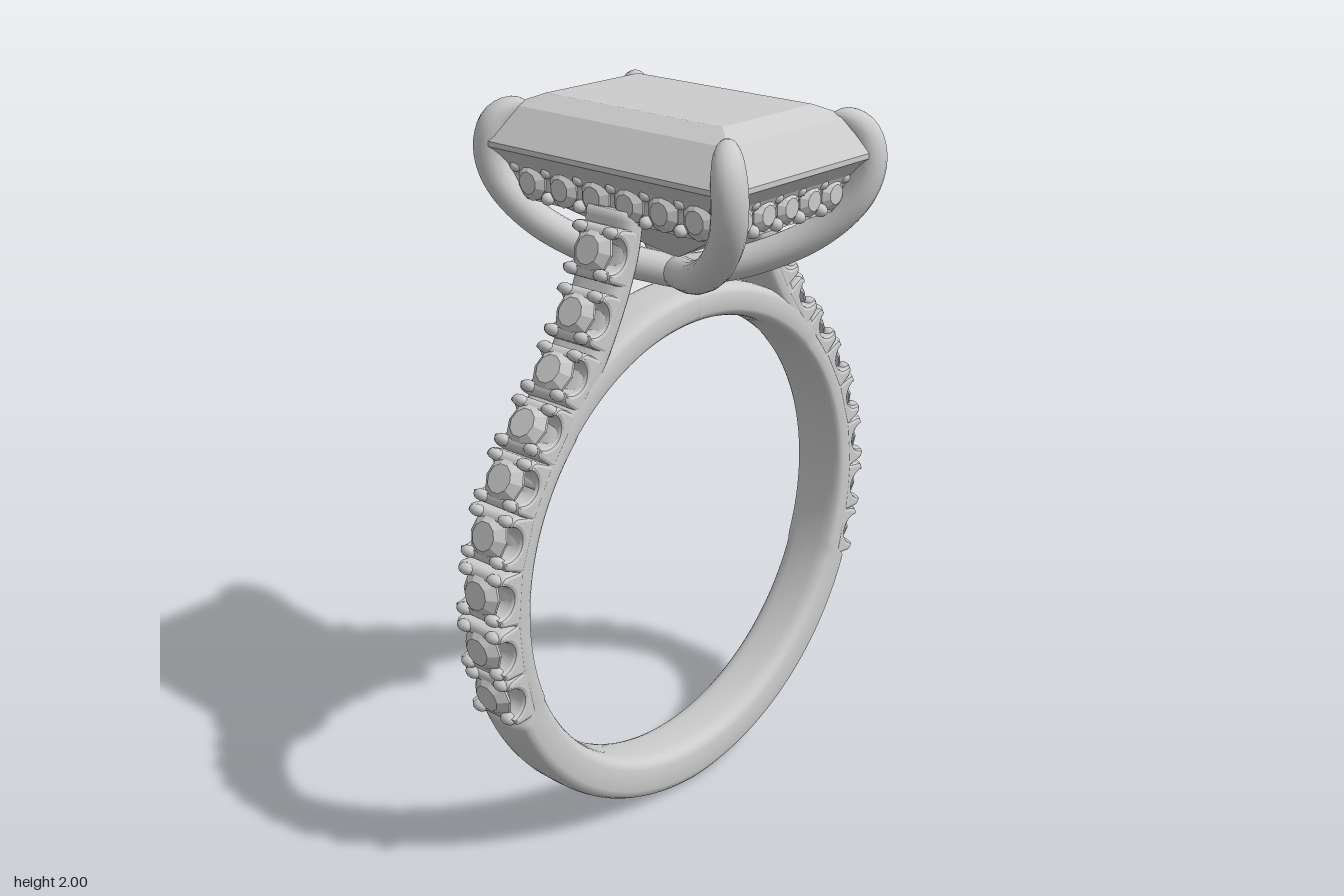
import * as THREE from 'three';

const V = (x, y, z) => new THREE.Vector3(x, y, z);

// Skin a list of equal-length rings; ends are closed to their centres when capped
function loft(rings, { capped = true, flat = false } = {}) {
  const list = rings.slice();
  if (capped) {
    const collapse = (ring) => {
      const c = ring.reduce((s, p) => s.add(p), V(0, 0, 0)).divideScalar(ring.length);
      return ring.map(() => c);
    };
    list.unshift(collapse(rings[0]));
    list.push(collapse(rings[rings.length - 1]));
  }
  const m = list[0].length, index = [];
  for (let i = 0; i < list.length - 1; i++) {
    for (let j = 0; j < m; j++) {
      const a = i * m + j, b = i * m + (j + 1) % m;
      index.push(a, b, a + m, b, b + m, a + m);
    }
  }
  let geo = new THREE.BufferGeometry().setFromPoints(list.flat());
  geo.setIndex(index);
  if (flat) geo = geo.toNonIndexed();
  geo.computeVertexNormals();
  return geo;
}

// Sweep a profile of [normal, side] offsets along a curve with a fixed side direction
function sweep(curve, side, steps, profile, capped = true) {
  const rings = [];
  for (let i = 0; i <= steps; i++) {
    const t = i / steps, p = curve.getPointAt(t);
    const n = side.clone().cross(curve.getTangentAt(t)).normalize();
    rings.push(profile(t).map(([a, b]) => p.clone().addScaledVector(n, a).addScaledVector(side, b)));
  }
  return loft(rings, { capped });
}

// Rounded section between n0 and n1, half as wide as w; power 1 is an ellipse
function section(n0, n1, w, power, count = 24) {
  const soft = (v) => Math.sign(v) * Math.abs(v) ** power;
  return Array.from({ length: count }, (_, i) => {
    const a = (i / count) * Math.PI * 2;
    return [(n0 + n1) / 2 + (n1 - n0) / 2 * soft(Math.cos(a)), w * soft(Math.sin(a))];
  });
}

export function createModel() {
  const ring = new THREE.Group();
  ring.name = 'ring';
  const grey = new THREE.MeshStandardMaterial({ color: 0xcccccc });
  grey.name = 'silverGrey';
  const add = (parent, name, geo, x = 0, y = 0, z = 0) => {
    const mesh = new THREE.Mesh(geo, grey);
    mesh.name = name;
    mesh.position.set(x, y, z);
    parent.add(mesh);
    return mesh;
  };
  const back = V(0, 0, -1);

  // Band: full circle from the top, thinner under the small stones, thickest at the bottom
  const inner = 0.637, centreY = 0.773;
  const circle = new THREE.CatmullRomCurve3(Array.from({ length: 48 }, (_, i) => {
    const a = Math.PI / 2 + (i / 48) * Math.PI * 2;
    return V(inner * Math.cos(a), centreY + inner * Math.sin(a), 0);
  }), true);
  add(ring, 'band', sweep(circle, back, 192, (t) => {
    const a = Math.PI * 2 * Math.min(t, 1 - t);
    let outer = 0.733;
    if (a > 0.8) outer = 0.712;
    if (a > 1.95) outer = 0.752 + 0.021 * (a - 1.95) / (Math.PI - 1.95);
    return section(0, outer - inner, 0.085, 0.55);
  }, false));

  // Small round brilliant, table facing +y, unit girdle radius
  const brilliant = new THREE.LatheGeometry(
    [[0, -0.75], [1, -0.06], [1, 0.04], [0.6, 0.36], [0, 0.36]].map(([x, y]) => new THREE.Vector2(x, y)), 10
  ).toNonIndexed();
  brilliant.computeVertexNormals();
  const bead = new THREE.SphereGeometry(1, 10, 8);

  // Seat: block with a scooped top, cut across the band
  const seatShape = new THREE.Shape();
  seatShape.moveTo(-0.074, -0.065);
  seatShape.lineTo(0.074, -0.065);
  seatShape.lineTo(0.070, -0.008);
  seatShape.quadraticCurveTo(0.068, 0.012, 0.045, 0.012);
  seatShape.absellipse(0, 0.012, 0.045, 0.048, 0, Math.PI, true);
  seatShape.quadraticCurveTo(-0.068, 0.012, -0.070, -0.008);
  seatShape.closePath();
  const seat = new THREE.ExtrudeGeometry(seatShape, {
    depth: 0.146, bevelThickness: 0.011, bevelSize: 0.01, bevelOffset: -0.01, bevelSegments: 2, curveSegments: 10,
  });
  seat.translate(0, 0, -0.073);

  // Shoulders: stone-set line up the side of the band, then the arm to the head
  const line = [[0.716, 0.568], [0.742, 0.711], [0.739, 0.865], [0.705, 1.013], [0.645, 1.146],
    [0.562, 1.268], [0.467, 1.385], [0.384, 1.517], [0.318, 1.666]].map(([x, y]) => V(x, y, 0));
  const surface = new THREE.CatmullRomCurve3([...line, V(0.29, 1.76, 0)]);
  const normals = line.map((p, i) => back.clone().cross(surface.getTangent(i / line.length)).normalize());
  const armPath = new THREE.CatmullRomCurve3([
    ...line.slice(4).map((p, i) => p.clone().addScaledVector(normals[i + 4], -0.062)), V(0.235, 1.76, 0),
  ]);
  const armGeo = sweep(armPath, back, 32, () => section(-0.038, 0.036, 0.083, 0.6));
  for (const turn of [0, Math.PI]) {
    const shoulder = new THREE.Group();
    shoulder.name = turn ? 'rightShoulder' : 'leftShoulder';
    shoulder.rotation.y = turn;
    ring.add(shoulder);
    add(shoulder, 'arm', armGeo);
    line.forEach((p, i) => {
      const unit = new THREE.Group();
      unit.name = 'shoulderSetting';
      unit.position.copy(p);
      unit.rotation.z = Math.atan2(normals[i].y, normals[i].x) - Math.PI / 2;
      shoulder.add(unit);
      add(unit, 'seat', seat);
      add(unit, 'shoulderStone', brilliant).scale.setScalar(0.064);
      for (const sx of [-1, 1]) {
        for (const sz of [-1, 1]) {
          add(unit, 'bead', bead, sx * 0.054, 0.006, sz * 0.052).scale.set(0.016, 0.018, 0.026);
        }
      }
    });
  }

  // Centre stone: stepped rectangular cut, as [half width, half depth, height]
  const steps = [[0.004, 0.004, 1.58], [0.22, 0.34, 1.745], [0.255, 0.38, 1.82], [0.302, 0.427, 1.864],
    [0.31, 0.435, 1.87], [0.31, 0.435, 1.884], [0.235, 0.37, 1.97], [0.175, 0.3, 2.0]];
  add(ring, 'centreStone', loft(steps.map(([x, z, y]) =>
    [V(x, y, z), V(x, y, -z), V(-x, y, -z), V(-x, y, z)]), { flat: true }));

  // Halo: frame under the centre stone with a row of stones on every side
  add(ring, 'haloFrame', new THREE.BoxGeometry(0.48, 0.1, 0.72), 0, 1.78, 0);
  for (let k = 0; k < 4; k++) {
    const isLong = k % 2 === 1;
    const count = isLong ? 6 : 5, gap = isLong ? 0.115 : 0.09, out = isLong ? 0.245 : 0.365;
    const side = new THREE.Group();
    side.name = 'haloSide';
    side.rotation.y = k * Math.PI / 2;
    ring.add(side);
    for (let i = 0; i <= count; i++) {
      const x = (i - count / 2) * gap;
      for (const y of [1.745, 1.815]) {
        add(side, 'haloBead', bead, x, y, out).scale.set(0.018, 0.017, 0.02);
      }
      if (i === count) continue;
      const stone = add(side, 'haloStone', brilliant, x + gap / 2, 1.78, out);
      stone.scale.setScalar(isLong ? 0.05 : 0.044);
      stone.rotation.x = Math.PI / 2;
    }
  }

  // Prongs: rise from the top of the band and hook over the corners in a tapered claw
  const prongPoints = [[0, 1.54, 0], [0.11, 1.583, 0.165], [0.205, 1.667, 0.31], [0.258, 1.765, 0.39],
    [0.276, 1.85, 0.411], [0.268, 1.925, 0.398], [0.243, 1.96, 0.372], [0.208, 1.975, 0.34]];
  for (const sx of [-1, 1]) {
    for (const sz of [-1, 1]) {
      const path = new THREE.CatmullRomCurve3(prongPoints.map(([x, y, z]) => V(sx * x, y, sz * z)));
      const across = V(sz * 0.83, 0, -sx * 0.55).normalize();
      add(ring, 'prong', sweep(path, across, 48, (t) => {
        const taper = t < 0.8 ? 1 : Math.sqrt(Math.max(0.02, 1 - ((t - 0.8) / 0.2) ** 2));
        return section(-0.044 * taper, 0.044 * taper, 0.046 * taper, 1, 16);
      }));
    }
  }
  return ring;
}
